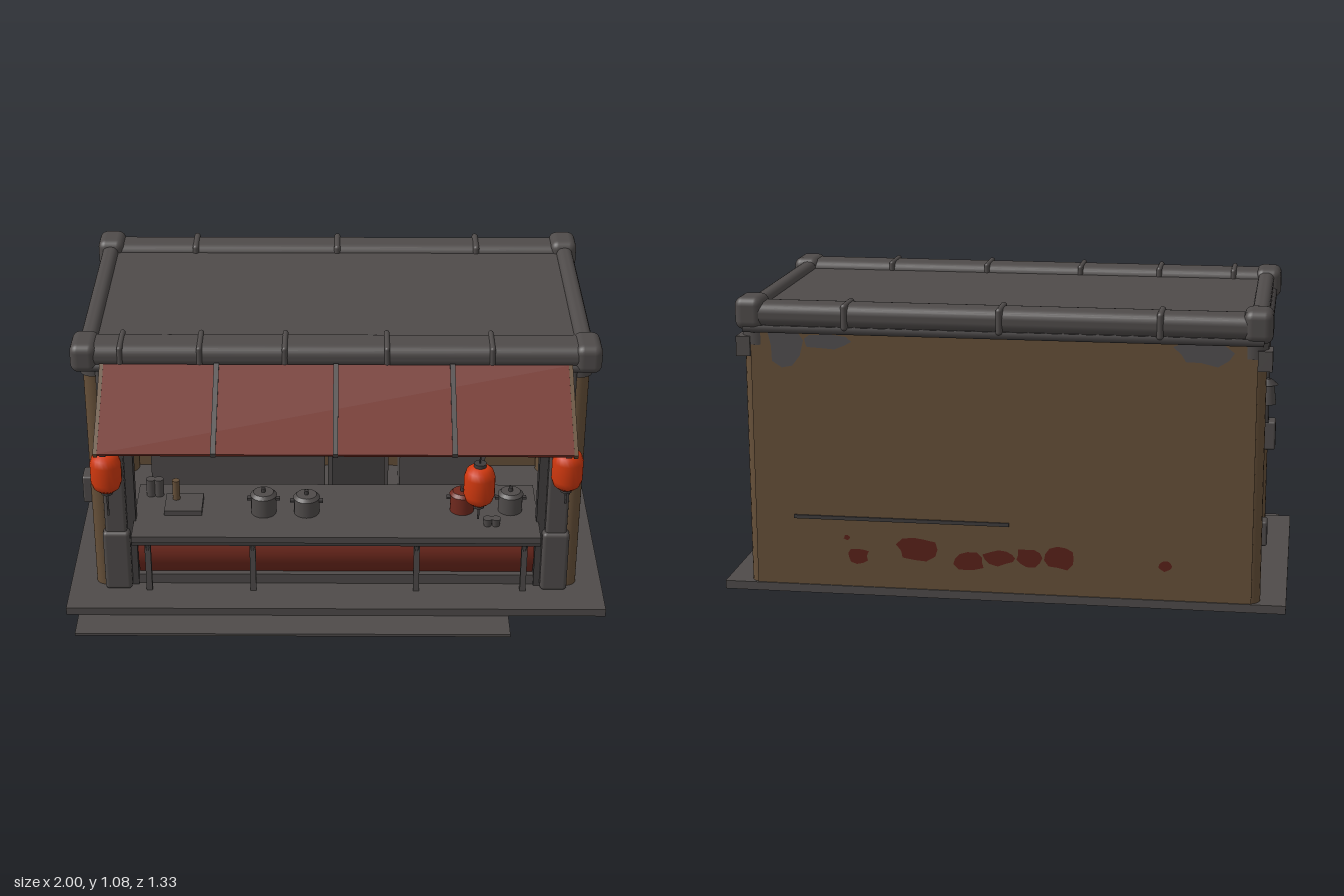
import * as THREE from 'three';
import { RoundedBoxGeometry } from 'three/addons/geometries/RoundedBoxGeometry.js';

const mat = (name, color, side = THREE.FrontSide) => {
  const m = new THREE.MeshStandardMaterial({ color, side });
  m.name = name;
  return m;
};

export function createModel() {
  const root = new THREE.Group();
  root.name = 'foodStall';
  const steel = mat('darkSteel', 0x4f4b4a);
  const iron = mat('blackIron', 0x403d3d);
  const plaster = mat('brownPlaster', 0x665039);
  const red = mat('rustRed', 0x70291e);
  const lanternRed = mat('lanternOrange', 0xd0380e);
  const stain = mat('redStain', 0x5a2119, THREE.DoubleSide);
  const peel = mat('greyPeel', 0x514e50, THREE.DoubleSide);

  const add = (name, geo, m, x = 0, y = 0, z = 0, parent = root) => {
    const mesh = new THREE.Mesh(geo, m);
    mesh.name = name;
    mesh.position.set(x, y, z);
    parent.add(mesh);
    return mesh;
  };
  // box given by its limits
  const box = (name, m, x0, x1, y0, y1, z0, z1, r = 0) => {
    const s = [x1 - x0, y1 - y0, z1 - z0];
    const g = r ? new RoundedBoxGeometry(...s, 3, r) : new THREE.BoxGeometry(...s);
    return add(name, g, m, (x0 + x1) / 2, (y0 + y1) / 2, (z0 + z1) / 2);
  };
  const cyl = (name, m, r, y0, y1, x, z, r2 = r, n = 20) =>
    add(name, new THREE.CylinderGeometry(r2, r, y1 - y0, n), m, x, (y0 + y1) / 2, z);
  const tube = (name, m, pts, r) => {
    const c = new THREE.CatmullRomCurve3(pts.map(p => new THREE.Vector3(...p)));
    return add(name, new THREE.TubeGeometry(c, 32, r, 6), m);
  };

  // ground plates
  box('floorSlab', steel, -1, 1, 0.01, 0.04, -0.64, 0.45);
  box('frontPlate', steel, -0.955, 0.64, 0, 0.01, -0.4, 0.57);

  // walls
  box('backWall', plaster, -0.88, 0.88, 0.04, 0.99, -0.635, -0.605);
  for (const s of [-1, 1]) {
    const a = s * 0.865, b = s * 0.885;
    box('sideWall', plaster, Math.min(a, b), Math.max(a, b), 0.04, 0.99, -0.62, 0.27);
    cyl('frontColumn', plaster, 0.04, 0.04, 0.98, s * 0.865, 0.25);
    cyl('backColumn', plaster, 0.045, 0.04, 0.98, s * 0.865, -0.588);
    cyl('columnCollar', steel, 0.05, 0.93, 0.99, s * 0.865, 0.25);
    cyl('columnCollar', steel, 0.052, 0.91, 0.99, s * 0.865, -0.588);
    // front posts
    const px = s * 0.815;
    box('frontPost', steel, px - 0.04, px + 0.04, 0.04, 0.98, 0.24, 0.315, 0.012);
    box('postBase', steel, px - 0.05, px + 0.05, 0.04, 0.29, 0.235, 0.328, 0.015);
    box('innerPost', iron, s * 0.758 - 0.016, s * 0.758 + 0.016, 0.04, 0.8, 0.24, 0.29);
    box('postPatch', plaster, px - 0.015, px + 0.035, 0.52, 0.57, 0.31, 0.319);
  }

  // roof deck and rolled edges
  box('roofDeck', steel, -0.88, 0.88, 0.985, 1.035, -0.62, 0.3);
  box('frontRoll', steel, -0.9, 0.9, 0.985, 1.065, 0.205, 0.345, 0.035);
  box('backRoll', steel, -0.9, 0.9, 0.975, 1.06, -0.66, -0.535, 0.035);
  for (const s of [-1, 1]) {
    box('sideRoll', steel, s * 0.882 - 0.03, s * 0.882 + 0.03, 0.97, 1.06, -0.6, 0.28, 0.025);
    tube('sideGutter', iron, [[s * 0.912, 0.99, -0.64], [s * 0.912, 0.99, 0.3]], 0.014);
    box('frontCap', steel, s * 0.89 - 0.048, s * 0.89 + 0.048, 0.965, 1.073, 0.2, 0.352, 0.03);
    box('backCap', steel, s * 0.88 - 0.05, s * 0.88 + 0.05, 0.965, 1.08, -0.665, -0.53, 0.03);
  }
  tube('frontGutter', iron, [[-0.9, 0.985, 0.335], [0.9, 0.985, 0.335]], 0.014);
  tube('backGutter', iron, [[-0.9, 0.97, -0.65], [0.9, 0.97, -0.65]], 0.014);
  for (const x of [-0.76, -0.48, -0.18, 0.18, 0.55])
    box('frontRollBand', steel, x - 0.01, x + 0.01, 0.98, 1.071, 0.2, 0.351, 0.035);
  for (const x of [-0.55, 0, 0.54])
    box('backRollBand', steel, x - 0.012, x + 0.012, 0.97, 1.066, -0.666, -0.53, 0.035);

  // shop front header
  box('fascia', steel, -0.78, 0.78, 0.8, 0.99, 0.24, 0.28);
  box('shutterBox', steel, -0.76, 0.76, 0.69, 0.755, 0.19, 0.27, 0.015);
  box('shutterLip', iron, -0.76, 0.76, 0.655, 0.675, 0.2, 0.24);
  for (const x of [-0.335, 0.375]) box('ceilingLamp', plaster, x - 0.12, x + 0.12, 0.765, 0.79, 0.2, 0.28);

  // sloping awning with ribs
  const awning = new THREE.Group();
  awning.name = 'awning';
  awning.position.set(0, 0.908, 0.503);
  awning.rotation.x = Math.atan2(0.185, 0.315);
  root.add(awning);
  add('awningSheet', new THREE.BoxGeometry(1.66, 0.012, 0.365), red, 0, 0, 0, awning);
  for (const x of [-0.42, 0, 0.41])
    add('awningRib', new THREE.BoxGeometry(0.018, 0.024, 0.367), steel, x, 0, 0, awning);
  for (const x of [-0.825, 0.825])
    add('awningEdge', new THREE.BoxGeometry(0.014, 0.022, 0.367), plaster, x, -0.004, 0, awning);

  // pierced awning brackets, drawn in z and y
  const bracket = new THREE.Shape([[0.3, 0.865], [0.56, 0.865], [0.66, 0.82], [0.655, 0.805], [0.58, 0.8], [0.3, 0.68]]
    .map(p => new THREE.Vector2(...p)));
  for (const [z, y, r] of [[0.39, 0.8, 0.034], [0.47, 0.82, 0.02], [0.525, 0.825, 0.016], [0.34, 0.75, 0.018], [0.44, 0.77, 0.014], [0.335, 0.83, 0.014]]) {
    const h = new THREE.Path();
    h.absarc(z, y, r, 0, Math.PI * 2, true);
    bracket.holes.push(h);
  }
  const bracketGeo = new THREE.ExtrudeGeometry(bracket, { depth: 0.02, bevelEnabled: false, curveSegments: 8 });
  bracketGeo.rotateY(-Math.PI / 2);
  for (const x of [-0.79, 0.81]) add('awningBracket', bracketGeo, steel, x, 0, 0);
  for (const x of [-0.8, 0.8]) box('bracketRail', steel, x - 0.02, x + 0.02, 0.858, 0.87, 0.3, 0.56);

  // hanging lanterns
  const body = new THREE.LatheGeometry([[0, -0.075], [0.03, -0.075], [0.047, -0.06], [0.055, -0.035], [0.055, 0.035], [0.047, 0.06], [0.03, 0.075], [0, 0.075]]
    .map(p => new THREE.Vector2(...p)), 20);
  for (const [x, y, tail] of [[-0.805, 0.69, 0.09], [0.505, 0.64, 0.05], [0.81, 0.705, 0.05]]) {
    const z = 0.556;
    add('lantern', body, lanternRed, x, y, z);
    cyl('lanternCap', iron, 0.022, y + 0.07, y + 0.088, x, z);
    cyl('lanternFoot', iron, 0.02, y - 0.09, y - 0.07, x, z);
    cyl('lanternCord', iron, 0.003, y + 0.08, 0.865, x, z, 0.003, 6);
    cyl('lanternTassel', iron, 0.004, y - 0.09 - tail, y - 0.08, x, z, 0.004, 6);
  }

  // counter with curved red front, legs and brackets
  box('counterTop', steel, -0.75, 0.75, 0.295, 0.32, 0.02, 0.4);
  box('counterEdge', iron, -0.75, 0.75, 0.28, 0.295, 0.375, 0.395);
  const front = new THREE.PlaneGeometry(1.48, 0.2, 1, 10);
  const p = front.attributes.position;
  for (let i = 0; i < p.count; i++) p.setZ(i, 0.04 * Math.cos(p.getY(i) / 0.1 * Math.PI / 2));
  front.computeVertexNormals();
  add('counterFront', front, red, 0, 0.17, 0.25);
  box('counterPlinth', steel, -0.75, 0.75, 0.04, 0.08, 0.22, 0.28);
  box('counterCore', steel, -0.75, 0.75, 0.04, 0.295, 0.2, 0.248);
  for (const x of [-0.7, -0.31, 0.3, 0.7]) {
    box('counterLeg', steel, x - 0.011, x + 0.011, 0.04, 0.29, 0.31, 0.33);
    tube('counterBrace', steel, [[x, 0.22, 0.325], [x, 0.255, 0.345], [x, 0.285, 0.385]], 0.007);
  }

  // kitchen fittings
  box('cabinet', steel, -0.74, -0.05, 0.04, 0.53, -0.6, -0.3);
  box('cabinetLedge', iron, -0.74, -0.05, 0.52, 0.535, -0.6, -0.28);
  box('fridge', steel, -0.035, 0.205, 0.04, 0.62, -0.6, -0.3);
  box('fridgeDoor', iron, -0.02, 0.19, 0.06, 0.605, -0.3, -0.292);
  box('oven', steel, 0.25, 0.59, 0.04, 0.54, -0.6, -0.3);
  box('ovenWindow', iron, 0.28, 0.56, 0.38, 0.51, -0.3, -0.292);
  box('wallShelf', steel, -0.75, 0.75, 0.625, 0.64, -0.6, -0.48);
  const pot = (x, z, r, h, m) => {
    cyl('pot', m, r, 0.32, 0.32 + h, x, z);
    cyl('potLid', m, r * 1.06, 0.32 + h, 0.332 + h, x, z, r * 0.8);
    cyl('lidKnob', iron, 0.008, 0.332 + h, 0.348 + h, x, z);
    box('potHandles', iron, x - r * 1.3, x + r * 1.3, 0.3 + h, 0.308 + h, z - 0.01, z + 0.01);
  };
  pot(-0.27, 0.22, 0.047, 0.075, steel);
  pot(-0.11, 0.22, 0.047, 0.065, steel);
  pot(0.47, 0.2, 0.045, 0.07, red);
  pot(0.65, 0.2, 0.045, 0.07, steel);
  box('cuttingBoard', steel, -0.64, -0.5, 0.32, 0.34, 0.12, 0.25);
  cyl('bottle', plaster, 0.014, 0.34, 0.42, -0.6, 0.16);
  for (const x of [-0.7, -0.67]) cyl('cup', steel, 0.018, 0.32, 0.39, x, 0.1);
  for (const x of [0.56, 0.59]) cyl('bowl', steel, 0.014, 0.32, 0.35, x, 0.31, 0.018);

  // door side: door, frame, meters, lamp and conduits
  box('door', red, -0.892, -0.858, 0.06, 0.7, -0.32, 0.09);
  box('doorLintel', iron, -0.897, -0.855, 0.7, 0.72, -0.34, 0.11);
  for (const z of [-0.34, 0.09]) box('doorJamb', iron, -0.897, -0.855, 0.04, 0.7, z, z + 0.02);
  box('upperMeter', steel, -0.935, -0.885, 0.38, 0.49, 0.18, 0.26, 0.008);
  box('lowerMeter', steel, -0.925, -0.885, 0.2, 0.29, -0.47, -0.4, 0.008);
  cyl('wallLamp', steel, 0.03, 0.7, 0.77, -0.912, -0.39, 0.022);
  cyl('wallLampCap', iron, 0.036, 0.77, 0.79, -0.912, -0.39, 0.012);
  for (const z of [0.15, 0.19]) tube('conduit', iron, [[-0.9, 0.96, z], [-0.9, 0.7, z], [-0.9, 0.49, z + 0.02]], 0.008);
  tube('lowerConduit', iron, [[-0.897, 0.2, -0.44], [-0.897, 0.04, -0.44]], 0.007);

  // sagging cables and junction boxes on both sides
  for (const s of [-1, 1]) {
    for (const [y0, sag, y1] of [[0.95, 0.9, 0.94], [0.93, 0.87, 0.92], [0.91, 0.83, 0.9]])
      tube('cable', iron, [[s * 0.9, y0, 0.2], [s * 0.897, y0 - 0.01, 0.1], [s * 0.897, sag, -0.15], [s * 0.897, (sag + y1) / 2, -0.37], [s * 0.91, y1, -0.56]], 0.006);
    box('junctionBox', steel, s * 0.905 - 0.025, s * 0.905 + 0.025, 0.87, 0.94, -0.645, -0.56);
    for (const [z, y] of [[0.13, 0.94], [-0.18, 0.9], [-0.46, 0.91]])
      box('cableClip', steel, s * 0.897 - 0.014, s * 0.897 + 0.014, y - 0.012, y + 0.012, z - 0.014, z + 0.014);
  }

  // weathering: thin irregular patches
  let seed = 7;
  const rnd = () => (seed = (seed * 16807) % 2147483647) / 2147483647;
  const blot = (name, m, w, h, x, y, z, turn) => {
    const pts = Array.from({ length: 11 }, (_, i) => {
      const a = i / 11 * Math.PI * 2, k = 0.75 + rnd() * 0.4;
      return new THREE.Vector2(Math.cos(a) * w * k, Math.sin(a) * h * k);
    });
    add(name, new THREE.ShapeGeometry(new THREE.Shape(pts)), m, x, y, z).rotation.y = turn;
  };
  for (const [x, y, w, h] of [[0.51, 0.155, 0.04, 0.03], [0.3, 0.19, 0.075, 0.045], [0.11, 0.15, 0.055, 0.035], [0, 0.17, 0.06, 0.03], [-0.1, 0.175, 0.05, 0.035], [-0.21, 0.18, 0.06, 0.045], [-0.58, 0.165, 0.022, 0.02], [0.55, 0.22, 0.012, 0.01]])
    blot('redBlotch', stain, w, h, x, y, -0.638, Math.PI);
  for (const [x, w, h] of [[0.76, 0.06, 0.09], [0.62, 0.09, 0.03], [-0.7, 0.1, 0.05]])
    blot('backPeel', peel, w, h, x, 0.93, -0.638, Math.PI);
  for (const [z, y, w, h] of [[0.17, 0.91, 0.05, 0.05], [-0.17, 0.94, 0.035, 0.025], [-0.35, 0.93, 0.04, 0.03]])
    blot('sidePeel', peel, w, h, 0.888, y, z, Math.PI / 2);
  box('wallGroove', iron, -0.03, 0.74, 0.285, 0.298, -0.641, -0.634);
  return root;
}
